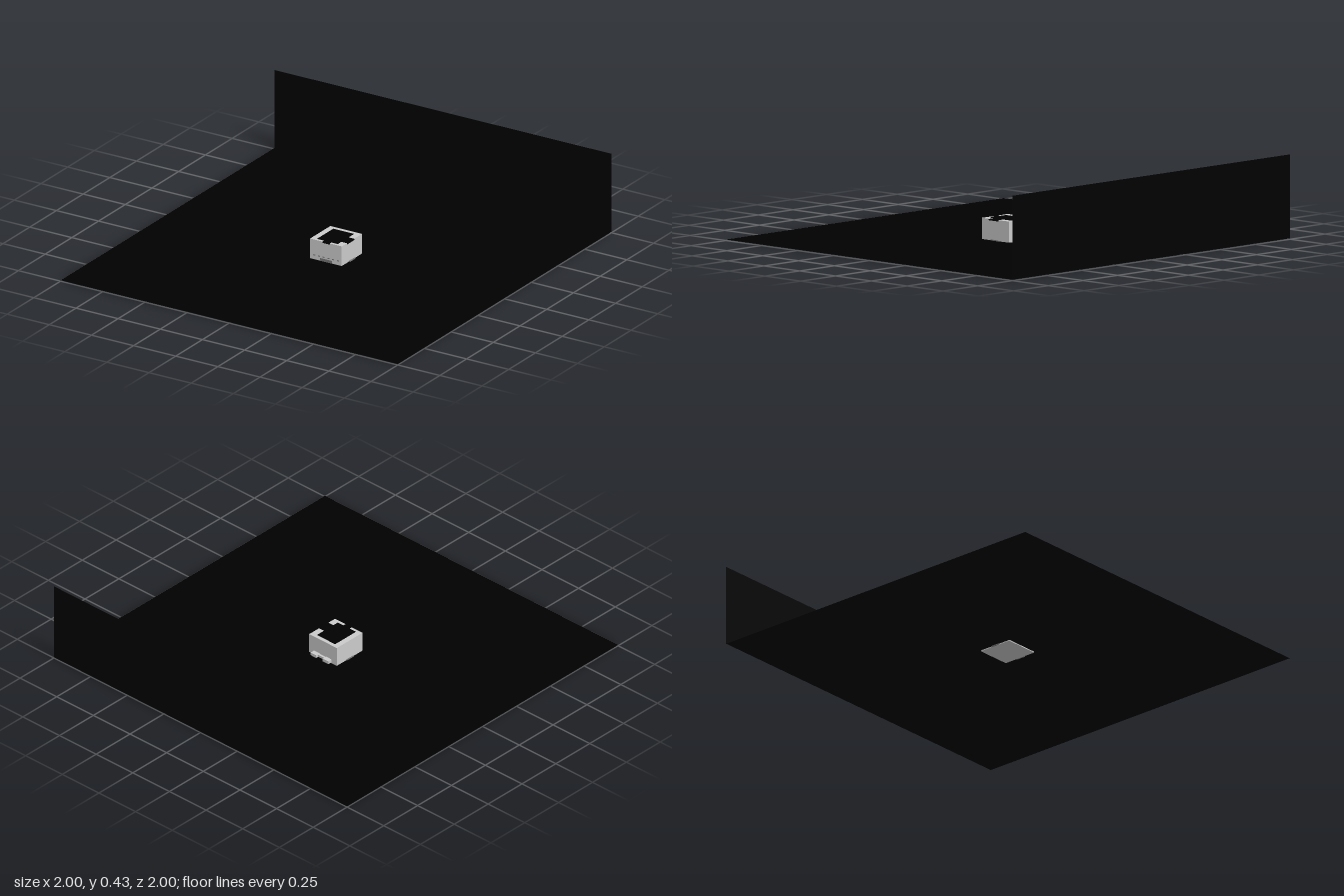
import * as THREE from 'three';

const grey = new THREE.MeshStandardMaterial({ color: 0xcccccc });
const darkGrey = new THREE.MeshStandardMaterial({ color: 0x777777 });
const black = new THREE.MeshStandardMaterial({ color: 0x000000 });
const blackSheet = new THREE.MeshStandardMaterial({ color: 0x000000, side: THREE.DoubleSide });

// Box given by its extents on each axis
function box(parent, name, [x0, x1], [y0, y1], [z0, z1], material = grey) {
  const mesh = new THREE.Mesh(new THREE.BoxGeometry(x1 - x0, y1 - y0, z1 - z0), material);
  mesh.position.set((x0 + x1) / 2, (y0 + y1) / 2, (z0 + z1) / 2);
  mesh.name = name;
  parent.add(mesh);
  return mesh;
}

export function createModel() {
  const model = new THREE.Group();

  // Thin backdrop: ground sheet and rear wall
  const floor = new THREE.Mesh(new THREE.PlaneGeometry(2, 2), blackSheet);
  floor.name = 'floorSheet';
  floor.rotation.x = -Math.PI / 2;
  floor.position.y = 0.005;
  const wall = new THREE.Mesh(new THREE.PlaneGeometry(2, 0.425), blackSheet);
  wall.name = 'backWall';
  wall.position.set(0, 0.2175, -1);
  model.add(floor, wall);

  // Small cased device in the middle
  const device = new THREE.Group();
  device.name = 'device';
  model.add(device);
  box(device, 'body', [-0.095, 0.093], [0, 0.105], [-0.097, 0.075]);
  box(device, 'frontPanel', [-0.095, 0.093], [0, 0.105], [0.075, 0.093]);

  // Raised rim round the top, open at the front and on one side
  const rim = [0.105, 0.112];
  box(device, 'rimBack', [-0.095, 0.093], rim, [-0.097, -0.077]);
  box(device, 'rimRight', [-0.095, -0.065], rim, [-0.077, 0.093]);
  box(device, 'rimLeftRear', [0.06, 0.093], rim, [-0.077, -0.025]);
  box(device, 'rimLeftFront', [0.06, 0.093], rim, [0.045, 0.093]);
  box(device, 'rimFrontRight', [-0.065, -0.022], rim, [0.078, 0.093]);
  box(device, 'rimFrontLeft', [0.022, 0.06], rim, [0.078, 0.093]);

  // Black top panel filling the rim and its openings
  box(device, 'topPanel', [-0.065, 0.06], [0.105, 0.111], [-0.077, 0.078], black);
  box(device, 'topPanelSide', [0.06, 0.094], [0.105, 0.111], [-0.025, 0.045], black);
  box(device, 'topPanelFront', [-0.022, 0.022], [0.105, 0.111], [0.078, 0.093], black);
  box(device, 'topStud', [-0.006, 0.006], [0.11, 0.117], [-0.006, 0.006], black);

  // Front slot with a row of small dark marks
  box(device, 'frontSlot', [-0.035, 0.035], [0.005, 0.02], [0.093, 0.0945], darkGrey);
  for (let i = 0; i < 6; i++) {
    const x = -0.07 + i * 0.028;
    box(device, 'frontMark', [x - 0.006, x + 0.006], [0.026, 0.031], [0.0925, 0.0935], darkGrey);
  }

  for (const side of [-1, 1]) {
    // Low side feet
    box(device, 'sideTab', [side * 0.097 - 0.003, side * 0.097 + 0.003], [0, 0.01], [-0.025, 0.025], darkGrey);
    // Rear connectors
    box(device, 'rearConnector', [side * 0.041 - 0.019, side * 0.041 + 0.019], [0.012, 0.028], [-0.122, -0.097]);
  }
  box(device, 'rearBridge', [-0.022, 0.022], [0.014, 0.026], [-0.11, -0.097]);

  return model;
}
